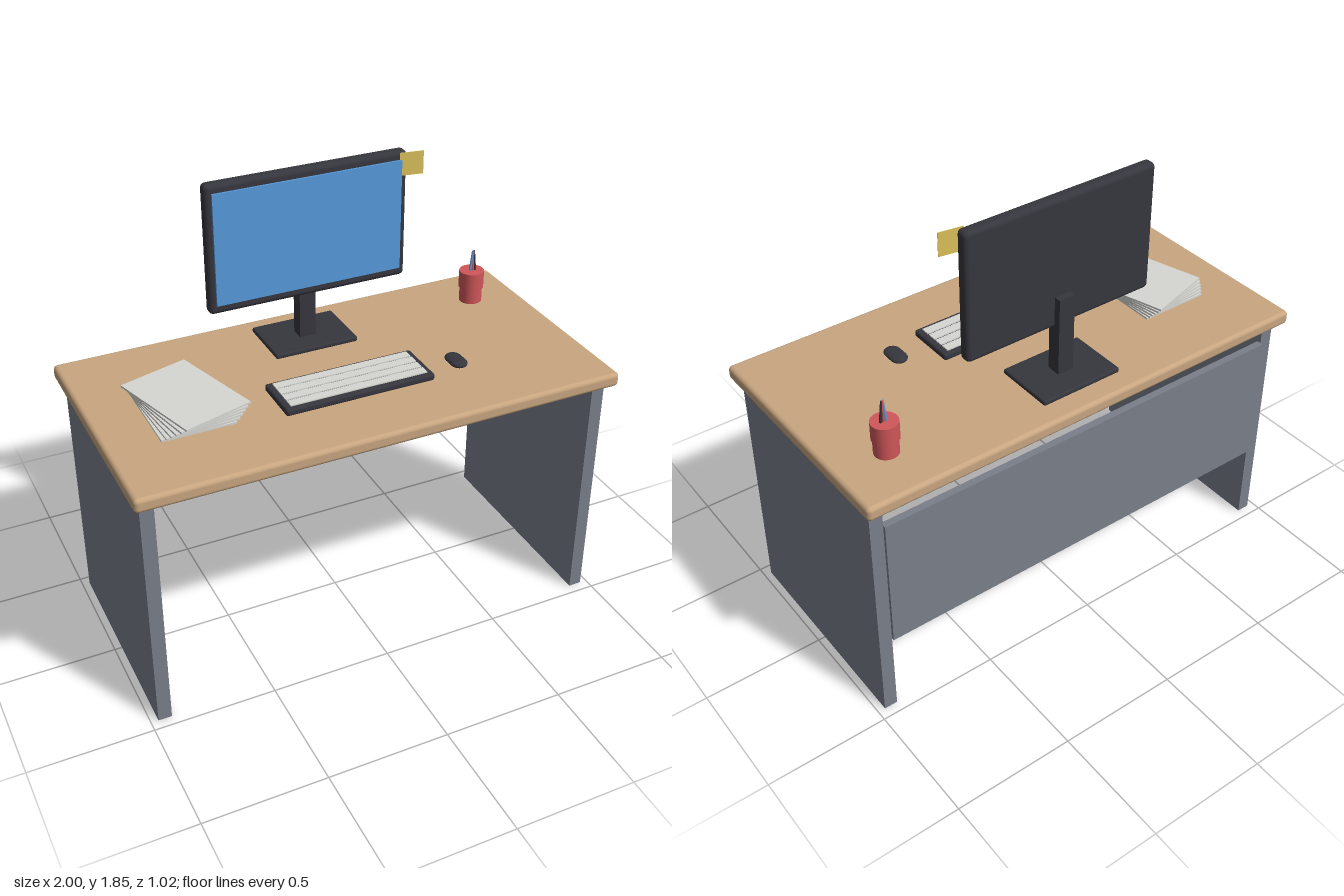
import * as THREE from 'three';
import { RoundedBoxGeometry } from 'three/addons/geometries/RoundedBoxGeometry.js';

const paint = (name, color) => {
  const m = new THREE.MeshStandardMaterial({ color });
  m.name = name;
  return m;
};

export function createModel() {
  const model = new THREE.Group();
  model.name = 'officeDesk';

  const wood = paint('wood', 0xc8a680);
  const steel = paint('steelGrey', 0x7a7f8a);
  const dark = paint('darkPlastic', 0x36363e);
  const blue = paint('screenBlue', 0x569ada);
  const white = paint('paperWhite', 0xd6d6d2);
  const red = paint('cupRed', 0xd05659);
  const yellow = paint('noteYellow', 0xdcc25c);

  const add = (name, geometry, material, x, y, z, parent = model) => {
    const mesh = new THREE.Mesh(geometry, material);
    mesh.name = name;
    mesh.position.set(x, y, z);
    parent.add(mesh);
    return mesh;
  };
  const group = (name) => {
    const g = new THREE.Group();
    g.name = name;
    model.add(g);
    return g;
  };
  const box = (w, h, d) => new THREE.BoxGeometry(w, h, d);
  const round = (w, h, d, r) => new RoundedBoxGeometry(w, h, d, 3, r);

  // Desk
  const top = 1.085;
  add('deskTop', round(2, 0.06, 1.025, 0.018), wood, 0, top - 0.03, 0);
  for (const side of [-1, 1]) {
    add(side > 0 ? 'leftLeg' : 'rightLeg', box(0.055, 1.025, 0.915), steel, side * 0.9425, 0.5125, 0);
  }
  add('backPanel', box(1.83, 0.57, 0.03), steel, 0, 0.645, -0.455);

  // Monitor on its stand
  const monitor = group('monitor');
  add('standBase', round(0.36, 0.022, 0.258, 0.008), dark, 0, top + 0.011, -0.29, monitor);
  add('standNeck', box(0.07, 0.34, 0.06), dark, 0, 1.27, -0.285, monitor);
  add('monitorCase', round(0.85, 0.54, 0.055, 0.02), dark, 0, 1.575, -0.258, monitor);
  add('screen', box(0.795, 0.465, 0.009), blue, 0, 1.578, -0.2265, monitor);

  // Sticky note on the monitor corner
  const note = add('stickyNote', box(0.098, 0.095, 0.003), yellow, 0.438, 1.792, -0.221, monitor);
  note.rotation.y = -0.15;

  // Keyboard with four rows of keys
  const keyboard = group('keyboard');
  add('keyboardBody', round(0.63, 0.03, 0.215, 0.01), dark, 0, top + 0.015, 0.14, keyboard);
  for (let row = 0; row < 4; row++) {
    add('keyRow', box(0.58, 0.008, 0.038), white, 0, top + 0.031, 0.07 + row * 0.046, keyboard);
  }

  // Mouse
  const mouse = new THREE.CapsuleGeometry(0.035, 0.046, 6, 16);
  mouse.rotateX(Math.PI / 2).scale(1, 0.43, 1);
  add('mouse', mouse, dark, 0.453, top + 0.015, 0.168);

  // Fanned stack of paper
  const papers = group('paperStack');
  for (let i = 0; i < 6; i++) {
    const t = i / 5;
    const sheet = add('paperSheet', box(0.297, 0.008, 0.42), white,
      -0.645 + 0.022 * t, top + 0.004 + i * 0.008, -0.004, papers);
    sheet.rotation.y = 0.285 * t;
  }

  // Pen cup with a wider upper band
  const pot = group('penCup');
  pot.position.set(0.783, top, -0.287);
  add('lowerCup', new THREE.CylinderGeometry(0.048, 0.048, 0.07, 24), red, 0, 0.035, 0, pot);
  add('upperCup', new THREE.CylinderGeometry(0.053, 0.053, 0.075, 24), red, 0, 0.1025, 0, pot);

  // Pens leaning together
  [[-0.007, blue, -0.09, 0.17], [0.004, red, 0.0, 0.16], [0.014, dark, 0.09, 0.165]].forEach(
    ([x, material, lean, height]) => {
      const pen = add('pen', new THREE.CylinderGeometry(0.004, 0.008, height, 8), material,
        x, 0.23 - (0.17 - height) - height / 2 + 0.085, 0, pot);
      pen.position.y = 0.23 - height / 2;
      pen.rotation.z = lean;
    });

  return model;
}
